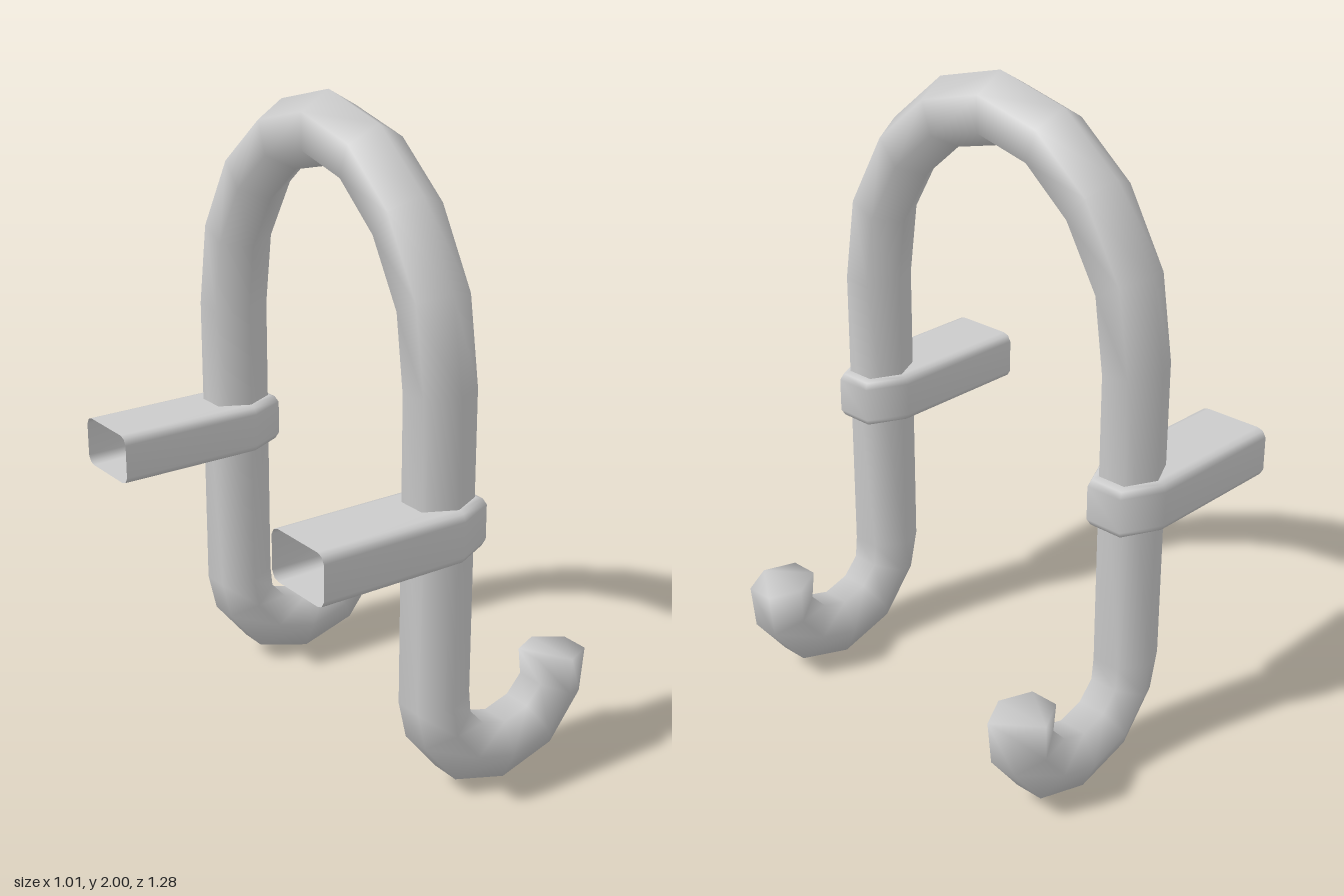
import * as THREE from 'three';

const LEG_X = -0.04, LEG_Z = 0.518;
const HALF_X = 0.093, HALF_Z = 0.091;
const material = new THREE.MeshStandardMaterial({ color: 0xcccccc });
const shellMaterial = new THREE.MeshStandardMaterial({ color: 0xcccccc, side: THREE.DoubleSide });

// Skins a list of equal-length open or closed rings, sharing vertices for smooth normals
function skin(rings, closed, capStart, capEnd) {
  const n = rings[0].length, index = [], last = (rings.length - 1) * n;
  for (let i = 0; i < rings.length - 1; i++) {
    for (let j = 0; j < (closed ? n : n - 1); j++) {
      const k = (j + 1) % n, a = i * n + j, b = i * n + k;
      index.push(a, b, a + n, b, b + n, a + n);
    }
  }
  for (let k = 1; k < n - 1; k++) {
    if (capStart) index.push(0, k + 1, k);
    if (capEnd) index.push(last, last + k, last + k + 1);
  }
  const geometry = new THREE.BufferGeometry().setFromPoints(rings.flat());
  geometry.setIndex(index);
  geometry.computeVertexNormals();
  return geometry;
}

// Hexagonal section around a centre, spanned by two half-axes
const HEX = [[0, 1], [-1, 0.5], [-1, -0.5], [0, -1], [1, -0.5], [1, 0.5]];
function hexRing(center, u, w) {
  return HEX.map(([a, b]) => center.clone().addScaledVector(u, a).addScaledVector(w, b));
}

// Hook stations from tip to leg: outer x, y, inner x, y
const HOOK = [
  [0.505, 0.34, 0.32, 0.355], [0.49, 0.2, 0.33, 0.27], [0.38, 0.06, 0.28, 0.215],
  [0.195, 0.005, 0.195, 0.19], [0.01, 0.06, 0.11, 0.215], [-0.105, 0.2, 0.06, 0.27],
  [-0.133, 0.32, 0.053, 0.34],
];
// Arch stations from leg to crown: outer z, y, inner z, y
const ARCH = [
  [0.609, 1.27, 0.427, 1.25], [0.565, 1.54, 0.4, 1.46], [0.43, 1.78, 0.3, 1.63],
  [0.235, 1.94, 0.165, 1.745], [0, 2, 0, 1.785],
];

function hookRing([ox, oy, ix, iy], side) {
  return hexRing(
    new THREE.Vector3((ox + ix) / 2, (oy + iy) / 2, side * LEG_Z),
    new THREE.Vector3((ox - ix) / 2, (oy - iy) / 2, 0),
    new THREE.Vector3(0, 0, side * HALF_Z));
}

function archRing([oz, oy, iz, iy], side) {
  return hexRing(
    new THREE.Vector3(LEG_X, (oy + iy) / 2, side * (oz + iz) / 2),
    new THREE.Vector3(-HALF_X, 0, 0),
    new THREE.Vector3(0, (oy - iy) / 2, side * (oz - iz) / 2));
}

// One continuous bar: front hook, leg, arch, leg, back hook.
// The back half runs from leg to tip, so its hook axis is flipped by the reversed order.
function createBar() {
  const rings = [
    ...HOOK.map((s) => hookRing(s, 1)),
    ...ARCH.map((s) => archRing(s, 1)),
    ...ARCH.slice(0, -1).reverse().map((s) => archRing(s, -1)),
    ...HOOK.slice().reverse().map((s) => hookRing(s, -1)),
  ];
  const mesh = new THREE.Mesh(skin(rings, true, true, true), material);
  mesh.name = 'hookedBar';
  return mesh;
}

// Hollow bracket with rounded rims, wrapped round the leg and open at its outer end
const RIM = [[0.79, 0.03], [0.796, 0.011], [0.815, 0], [0.92, 0], [0.939, 0.011], [0.945, 0.03]];
function createBracket(side) {
  const rings = RIM.map(([y, inset]) => {
    const half = 0.121 - inset, nose = 0.06 - inset / 2;
    return [
      [-0.51, half], [-0.04, half], [0.085 - inset, nose],
      [0.085 - inset, -nose], [-0.04, -half], [-0.51, -half],
    ].map(([x, z]) => new THREE.Vector3(x, y, z + side * LEG_Z));
  });
  const mesh = new THREE.Mesh(skin(rings, false, true, true), shellMaterial);
  mesh.name = side > 0 ? 'frontBracket' : 'backBracket';
  return mesh;
}

export function createModel() {
  const group = new THREE.Group();
  group.name = 'hookedFrame';
  group.add(createBar(), createBracket(1), createBracket(-1));
  return group;
}
